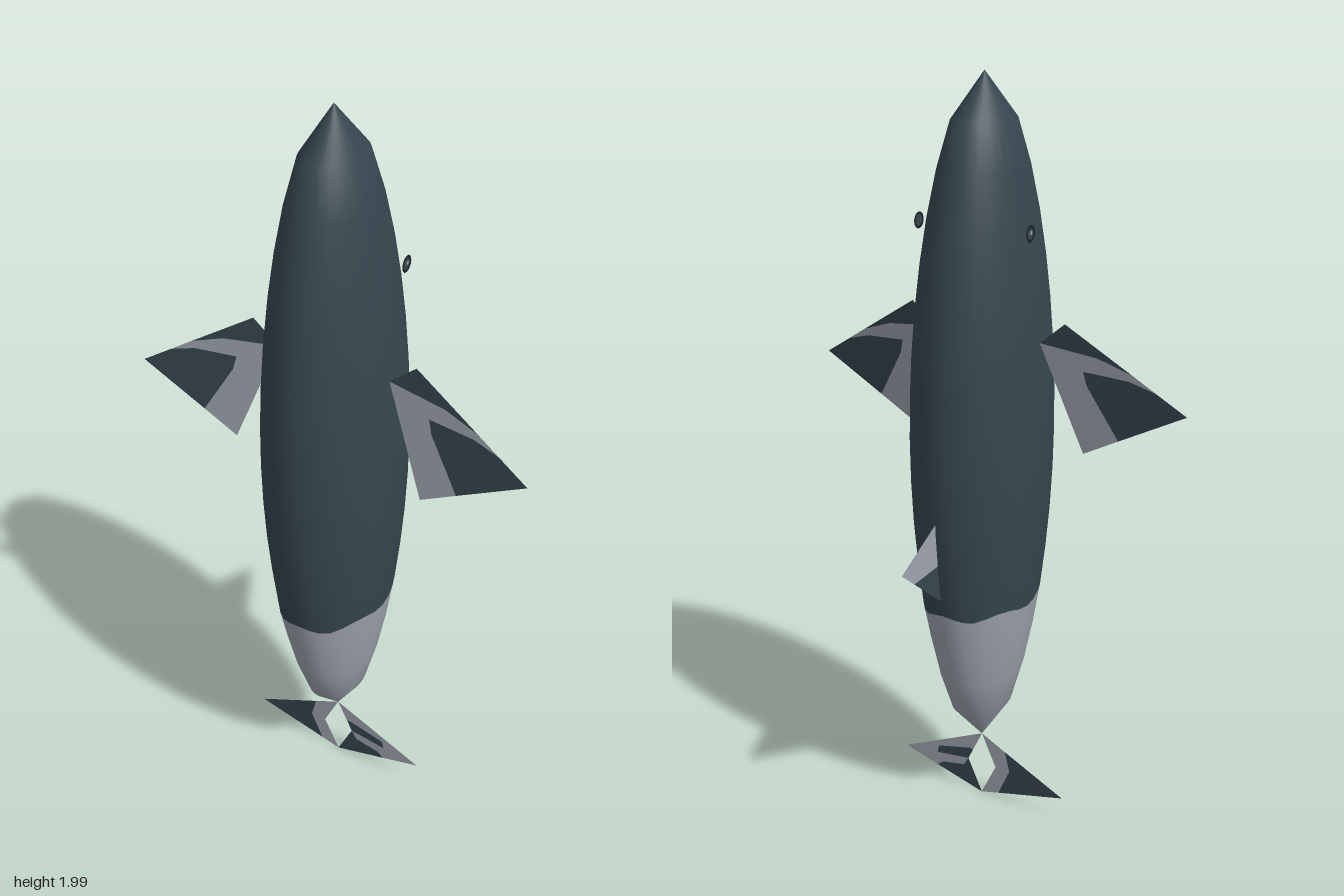
import * as THREE from 'three';

const AXIS_Z = 0.07; // depth of the body axis

export function createModel() {
  const model = new THREE.Group();
  model.name = 'seaAnimal';

  const flat = (name, color) => {
    const m = new THREE.MeshStandardMaterial({ color, side: THREE.DoubleSide });
    m.name = name;
    return m;
  };
  const dark = flat('charcoal', 0x36464f);
  const light = flat('paleGrey', 0x9ea4ae);
  const black = flat('eyeBlack', 0x1c2328);

  const add = (parent, name, geometry, material) => {
    const mesh = new THREE.Mesh(geometry, material);
    mesh.name = name;
    parent.add(mesh);
    return mesh;
  };

  // Body: blunt spindle with an oval section, pale below a wavy line
  const RINGS = 16, SIDES = 32, PALE_RINGS = 4;
  const profile = [];
  for (let i = 0; i <= RINGS; i++) {
    const t = i / RINGS;
    profile.push(new THREE.Vector2(Math.sqrt(Math.max(0, Math.sin(Math.PI * t))), 0.2 + 1.8 * t));
  }
  profile[0].x = profile[RINGS].x = 0;
  const body = new THREE.LatheGeometry(profile, SIDES);
  const pos = body.attributes.position;
  for (let s = 0; s <= SIDES; s++) {
    const k = s * (RINGS + 1) + PALE_RINGS;
    pos.setY(k, 0.64 + 0.007 * Math.cos(s / SIDES * Math.PI * 12));
  }
  body.scale(0.165, 1, 0.232);
  body.translate(0, 0, AXIS_Z);
  // the triangles run ring by ring within each side
  const perSide = body.index.count / SIDES;
  const paleCount = PALE_RINGS * 6 - 3;
  for (let s = 0; s < SIDES; s++) {
    const whole = perSide === RINGS * 6;
    const pale = whole ? PALE_RINGS * 6 : paleCount;
    body.addGroup(s * perSide, pale, 0);
    body.addGroup(s * perSide + pale, perSide - pale, 1);
  }
  add(model, 'body', body, [light, dark]);

  // Thin sheet cut from an outline; place() maps its flat corners into space
  const patch = (outline, place) => {
    const g = new THREE.ShapeGeometry(new THREE.Shape(outline.map(([a, b]) => new THREE.Vector2(a, b))));
    const p = g.attributes.position;
    for (let i = 0; i < p.count; i++) p.setXYZ(i, ...place(p.getX(i), p.getY(i)));
    g.computeVertexNormals();
    return g;
  };
  const fin = (name, patches, place) => {
    const group = new THREE.Group();
    group.name = name;
    for (const [part, material, outline] of patches) add(group, part, patch(outline, place), material);
    model.add(group);
  };

  // Side flippers: dark leading edge and tip around a bent pale band
  const flipper = [
    ['leadingEdge', dark, [[0.155, 1.352], [0.225, 1.41], [0.4, 1.302], [0.31, 1.333]]],
    ['paleBand', light, [[0.155, 1.352], [0.31, 1.333], [0.4, 1.302], [0.46, 1.2645], [0.39, 1.285],
      [0.27, 1.293], [0.28, 1.255], [0.361, 1.121], [0.265, 1.07]]],
    ['tip', dark, [[0.27, 1.293], [0.39, 1.285], [0.46, 1.2645], [0.54, 1.215], [0.361, 1.121], [0.28, 1.255]]],
  ];
  const flipperZ = (x, y) => 0.083 + 0.0741 * (x - 0.225) - 0.106 * (y - 1.41);
  for (const side of [1, -1]) {
    fin(side > 0 ? 'leftFlipper' : 'rightFlipper', flipper, (x, y) => [side * x, y, flipperZ(x, y)]);
  }

  // Back fin, drawn as (z, y)
  fin('backFin', [
    ['paleEdge', light, [[-0.1, 0.945], [-0.303, 0.83], [-0.25, 0.787], [-0.1, 0.8]]],
    ['darkBase', dark, [[-0.1, 0.8], [-0.25, 0.787], [-0.1, 0.667]]],
  ], (z, y) => [0, y, z]);

  // Tail flukes: pale strip beside the central diamond gap
  const inTail = side => (x, y) => [side * x, y, AXIS_Z];
  fin('rightFluke', [
    ['paleInner', light, [[0, 0.2], [0.075, 0.164], [0.09, 0.105], [0.055, 0.025], [0, 0.01], [0.045, 0.105]]],
    ['darkOuter', dark, [[0.075, 0.164], [0.258, 0.078], [0.055, 0.025], [0.09, 0.105]]],
  ], inTail(-1));
  fin('leftFluke', [
    ['paleEdge', light, [[0, 0.2], [0.258, 0.078], [0.15, 0.049], [0.13, 0.065], [0.06, 0.079],
      [0.045, 0.105], [0.15, 0.09], [0.145, 0.113], [0.04, 0.14], [0.03, 0.137]]],
    ['darkStripe', dark, [[0.03, 0.137], [0.04, 0.14], [0.145, 0.113], [0.15, 0.09], [0.045, 0.105]]],
    ['darkBase', dark, [[0, 0.01], [0.15, 0.049], [0.13, 0.065], [0.06, 0.079], [0.045, 0.105]]],
  ], inTail(1));

  // Eyes: flat discs standing just off the head
  for (const side of [1, -1]) {
    const eye = new THREE.Group();
    eye.name = side > 0 ? 'leftEye' : 'rightEye';
    add(eye, 'eyeRim', new THREE.RingGeometry(0.014, 0.021, 20), black);
    add(eye, 'eyeDisc', new THREE.CircleGeometry(0.014, 20), dark);
    add(eye, 'eyeGlint', new THREE.CircleGeometry(0.005, 12), light).position.set(0, 0.003, 0.002);
    eye.rotation.y = side * Math.PI / 2;
    eye.position.set(side * 0.16, 1.635, 0.022);
    model.add(eye);
  }

  return model;
}
